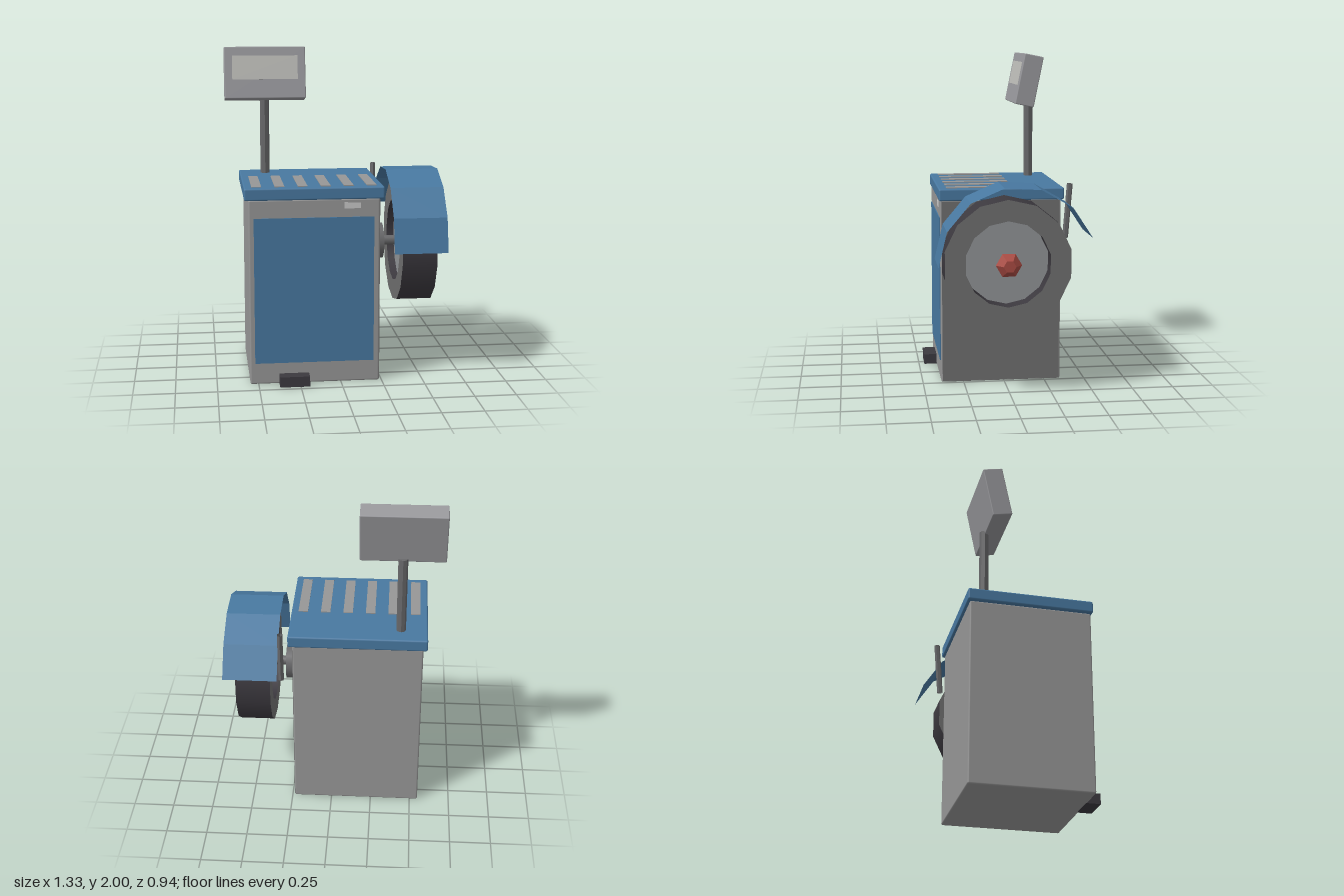
import * as THREE from 'three';
import { RoundedBoxGeometry } from 'three/addons/geometries/RoundedBoxGeometry.js';

const mat = (name, color, side = THREE.FrontSide) =>
  Object.assign(new THREE.MeshStandardMaterial({ color, side }), { name });

export function createModel() {
  const blue = mat('blue paint', 0x4878a0, THREE.DoubleSide);
  const grey = mat('grey cabinet', 0x969696);
  const darkGrey = mat('dark grey', 0x6e6e6e);
  const displayGrey = mat('display grey', 0x98989c);
  const steel = mat('steel', 0x68686a, THREE.DoubleSide);
  const rimMetal = mat('rim metal', 0x909396);
  const rubber = mat('rubber', 0x3c393f, THREE.DoubleSide);
  const red = mat('red nut', 0xa84a42);
  const glass = mat('screen', 0xbcbcb8);
  const labelGrey = mat('label', 0xc8c8c8);

  const root = new THREE.Group();
  const add = (name, geo, material, x = 0, y = 0, z = 0, parent = root) => {
    const m = new THREE.Mesh(geo, material);
    m.name = name;
    m.position.set(x, y, z);
    parent.add(m);
    return m;
  };
  // box given by its limits on each axis
  const block = (name, material, [x0, x1], [y0, y1], [z0, z1], r = 0) => {
    const s = [x1 - x0, y1 - y0, z1 - z0];
    const geo = r ? new RoundedBoxGeometry(...s, 2, r) : new THREE.BoxGeometry(...s);
    return add(name, geo, material, (x0 + x1) / 2, (y0 + y1) / 2, (z0 + z1) / 2);
  };
  const flat = (geo) => {
    const g = geo.toNonIndexed();
    g.computeVertexNormals();
    return g;
  };
  // cylinder lying along x, from x0 to x1
  const alongX = (x0, x1, r0, r1, sides, open = false, start = 0, sweep = Math.PI * 2) =>
    new THREE.CylinderGeometry(r1, r0, x1 - x0, sides, 1, open, start, sweep)
      .rotateZ(-Math.PI / 2).translate((x0 + x1) / 2, 0, 0);

  // Cabinet
  block('cabinet', grey, [-0.55, 0.235], [0, 1.13], [-0.35, 0.387], 0.01);
  block('sidePanel', darkGrey, [0.23, 0.237], [0.008, 1.122], [-0.342, 0.379]);
  block('frontPanel', blue, [-0.52, 0.2], [0.13, 1.02], [0.384, 0.392]);
  block('frontLabel', labelGrey, [0.02, 0.12], [1.072, 1.106], [0.384, 0.391]);
  block('pedal', rubber, [-0.375, -0.195], [0, 0.063], [0.36, 0.466]);

  // Lid with tray slats
  block('lid', blue, [-0.575, 0.262], [1.127, 1.2], [-0.365, 0.396], 0.01);
  for (let i = 0; i < 6; i++) {
    const x = -0.5 + i * 0.138;
    block('traySlat', grey, [x - 0.029, x + 0.029], [1.196, 1.205], [-0.06, 0.348]);
  }

  // Display on its pole
  add('displayPole', flat(new THREE.CylinderGeometry(0.029, 0.029, 0.49, 8)), steel, -0.413, 1.435, -0.24);
  const display = new THREE.Group();
  display.name = 'display';
  display.position.set(-0.412, 1.83, -0.212);
  display.rotation.x = -0.2;
  root.add(display);
  add('displayCase', new RoundedBoxGeometry(0.506, 0.323, 0.122, 2, 0.006), displayGrey, 0, 0, 0, display);
  add('displayScreen', new THREE.BoxGeometry(0.408, 0.148, 0.006), glass, 0, 0.031, 0.06, display);

  // Wheel on the spindle
  const axleY = 0.795, axleZ = 0.018, q = Math.PI / 2;
  const spindle = new THREE.Group();
  spindle.name = 'spindle';
  spindle.position.set(0, axleY, axleZ);
  root.add(spindle);
  const part = (name, geo, material) => add(name, geo, material, 0, 0, 0, spindle);
  part('hub', alongX(0.23, 0.303, 0.113, 0.113, 16), steel);
  part('shaft', alongX(0.29, 0.65, 0.03, 0.03, 8), steel);
  part('tyreTread', alongX(0.375, 0.588, 0.38, 0.38, 14, true, q), rubber);
  part('tyreBore', alongX(0.375, 0.588, 0.255, 0.255, 14, true, q), rubber);
  for (const [x, dir] of [[0.588, 1], [0.375, -1]]) {
    const ring = new THREE.RingGeometry(0.255, 0.38, 14, 1, q).rotateY(dir * q).translate(x, 0, 0);
    part('tyreSidewall', ring, darkGrey);
  }
  part('rim', alongX(0.42, 0.48, 0.255, 0.255, 14, false, q), rimMetal);
  part('clampNut', flat(alongX(0.61, 0.662, 0.077, 0.037, 6)), red);

  // Open arched wheel guard and its hinge rod
  const sweep = THREE.MathUtils.degToRad(160);
  add('wheelGuard', flat(alongX(0.32, 0.647, 0.463, 0.463, 6, true, -sweep, sweep)), blue, 0, 0.793, -0.034);
  const rod = add('guardRod', flat(new THREE.CylinderGeometry(0.018, 0.018, 0.33, 6, 1, true)), steel, 0.303, 1.065, -0.378);
  rod.rotation.x = -0.08;

  return root;
}
